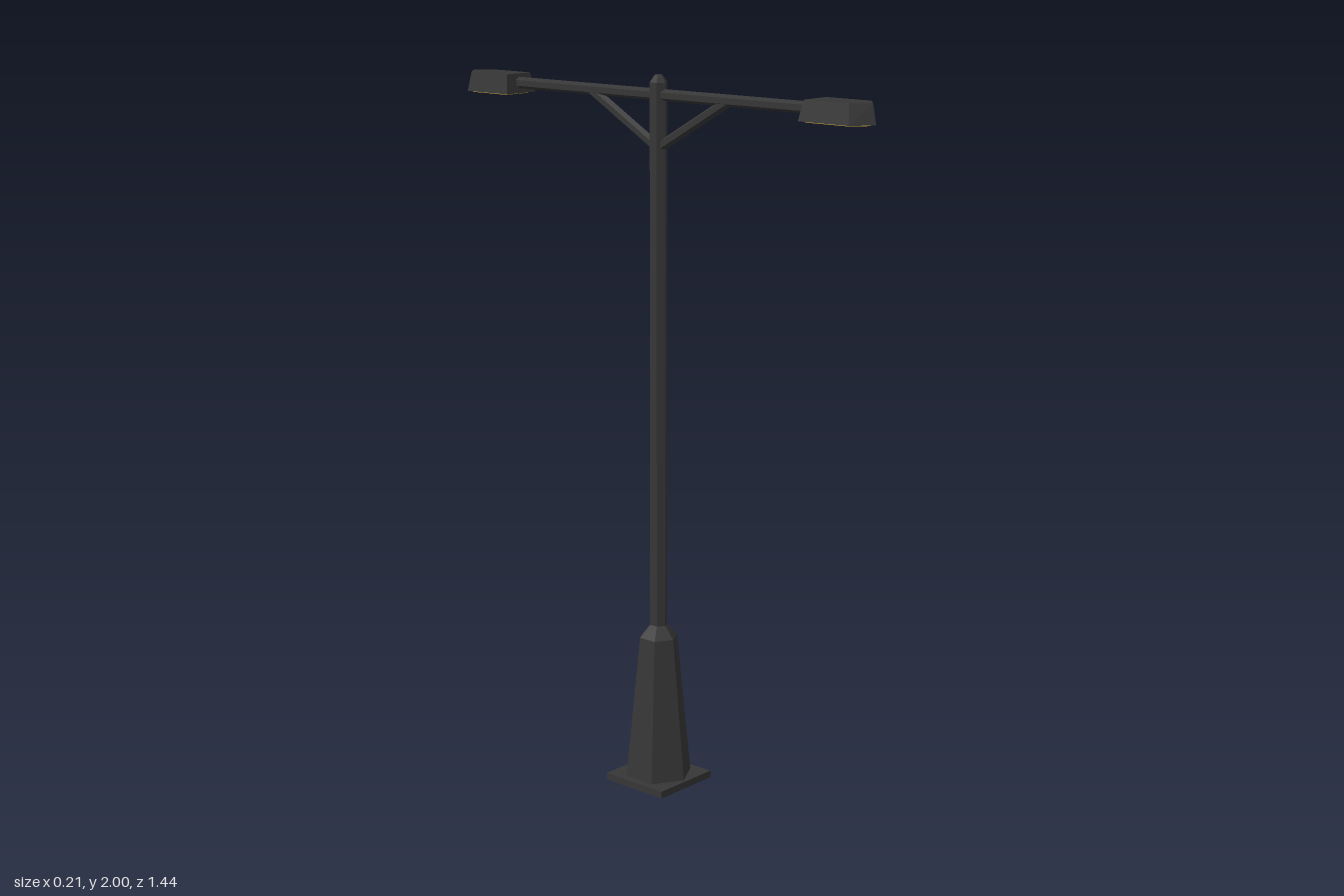
import * as THREE from 'three';
import { ConvexGeometry } from 'three/addons/geometries/ConvexGeometry.js';

export function createModel() {
  const iron = new THREE.MeshStandardMaterial({ color: 0x363636, flatShading: true });
  iron.name = 'darkIron';
  const glow = new THREE.MeshStandardMaterial({ color: 0xc8a238, flatShading: true });
  glow.name = 'amberGlass';

  const model = new THREE.Group();
  model.name = 'streetLamp';

  const add = (name, geometry, material = iron, parent = model) => {
    const mesh = new THREE.Mesh(geometry, material);
    mesh.name = name;
    parent.add(mesh);
    return mesh;
  };

  // Six-sided upright section between two heights
  const hexSection = (name, y0, y1, r0, r1) => {
    add(name, new THREE.CylinderGeometry(r1, r0, y1 - y0, 6)).position.y = (y0 + y1) / 2;
  };

  // Six-sided bar lying in the yz plane, from (y, z) to (y, z)
  const hexBar = (name, y0, z0, y1, z1, radius, parent) => {
    const length = Math.hypot(y1 - y0, z1 - z0);
    const bar = add(name, new THREE.CylinderGeometry(radius, radius, length, 6), iron, parent);
    bar.position.set(0, (y0 + y1) / 2, (z0 + z1) / 2);
    bar.rotation.x = Math.atan2(z1 - z0, y1 - y0);
  };

  // Pointed five-sided outline of the lamp head, at one height
  const outline = (y, halfWidth, inner, shoulder, tip) => [
    [-halfWidth, inner], [halfWidth, inner], [halfWidth, shoulder], [0, tip], [-halfWidth, shoulder],
  ].map(([x, z]) => new THREE.Vector3(x, y, z));

  // Foot plate, tapered base and pole
  add('footPlate', new THREE.BoxGeometry(0.21, 0.02, 0.21)).position.y = 0.01;
  hexSection('taperedBase', 0.02, 0.43, 0.096, 0.055);
  hexSection('baseCollar', 0.43, 0.465, 0.055, 0.025);
  hexSection('pole', 0.465, 1.98, 0.025, 0.025);
  hexSection('poleCap', 1.98, 2.0, 0.025, 0.011);

  // Two matching arms, the rear one turned half way round
  for (const [name, turn] of [['frontArm', 0], ['rearArm', Math.PI]]) {
    const arm = new THREE.Group();
    arm.name = name;
    arm.rotation.y = turn;
    model.add(arm);

    hexBar('armBar', 1.947, 0, 1.947, 0.54, 0.016, arm);
    hexBar('brace', 1.805, 0, 1.947, 0.247, 0.015, arm);

    add('lampHead', new ConvexGeometry([
      ...outline(1.918, 0.056, 0.518, 0.677, 0.72),
      ...outline(1.972, 0.046, 0.528, 0.67, 0.709),
    ]), iron, arm);

    add('lampGlass', new ConvexGeometry([
      ...outline(1.915, 0.044, 0.532, 0.669, 0.704),
      ...outline(1.92, 0.044, 0.532, 0.669, 0.704),
    ]), glow, arm);
  }

  return model;
}
